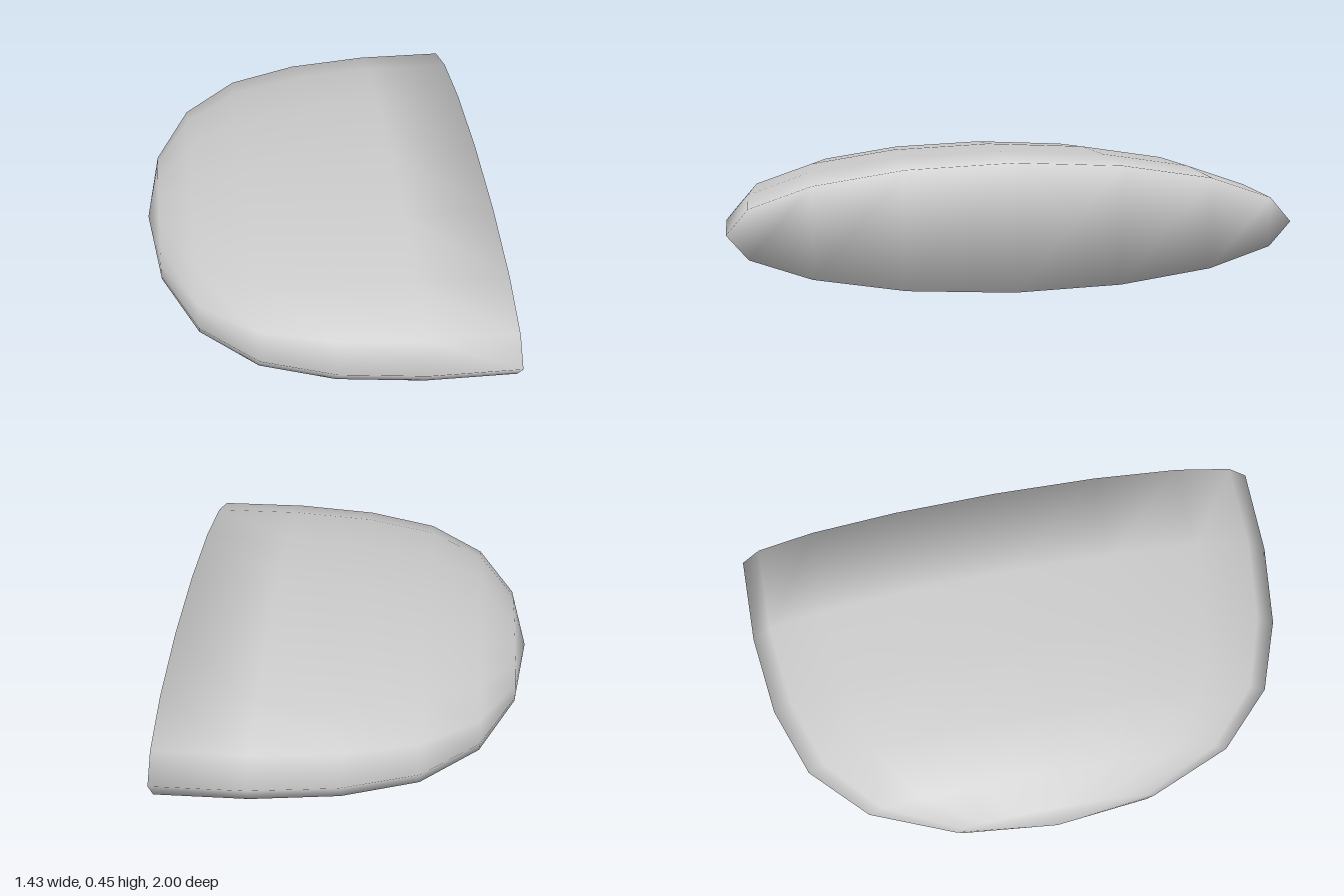
import * as THREE from 'three';

const SIDES = 16;          // points around each elliptical ring
const HALF_LENGTH = 0.976; // along the flat face
const HALF_HEIGHT = 0.225;
const DEPTH = 1.217;       // from the flat face to the rounded end
const RING_SCALE = [1, 1, 0.961, 0.866, 0.671, 0.37];

// Half of a flattened pebble: elliptical rings closing on a pole, with a flat cut face
function halfPebbleGeometry() {
  const positions = [];
  const index = [];
  const at = (ring, i) => ring * SIDES + (i % SIDES);

  RING_SCALE.forEach((s, ring) => {
    const x = -DEPTH * Math.sin((ring * Math.PI) / 12);
    for (let i = 0; i < SIDES; i++) {
      const t = (i / SIDES) * Math.PI * 2;
      positions.push(x, HALF_HEIGHT * s * Math.sin(t), -HALF_LENGTH * s * Math.cos(t));
    }
  });
  const pole = positions.length / 3;
  positions.push(-DEPTH, 0, 0);

  // Curved body
  const last = RING_SCALE.length - 1;
  for (let i = 0; i < SIDES; i++) {
    for (let r = 0; r < last; r++) {
      index.push(at(r, i), at(r + 1, i), at(r, i + 1));
      index.push(at(r, i + 1), at(r + 1, i), at(r + 1, i + 1));
    }
    index.push(at(last, i), pole, at(last, i + 1));
  }

  // Flat face in strips, sharing the rim so the shading rolls over the edge
  for (let i = 0; i < SIDES / 2; i++) {
    const a = i, b = i + 1, c = SIDES - i - 1, d = (SIDES - i) % SIDES;
    if (b !== c) index.push(a, b, c);
    if (a !== d) index.push(a, c, d);
  }

  const geometry = new THREE.BufferGeometry();
  geometry.setAttribute('position', new THREE.Float32BufferAttribute(positions, 3));
  geometry.setIndex(index);
  geometry.computeVertexNormals();
  return geometry;
}

export function createModel() {
  const group = new THREE.Group();
  group.name = 'halfPebble';
  const stone = new THREE.Mesh(
    halfPebbleGeometry(),
    new THREE.MeshStandardMaterial({ color: 0xcccccc })
  );
  stone.name = 'stone';
  stone.position.set(0.51, 0.23, 0.045);
  stone.rotation.y = -0.207;
  group.add(stone);
  return group;
}
